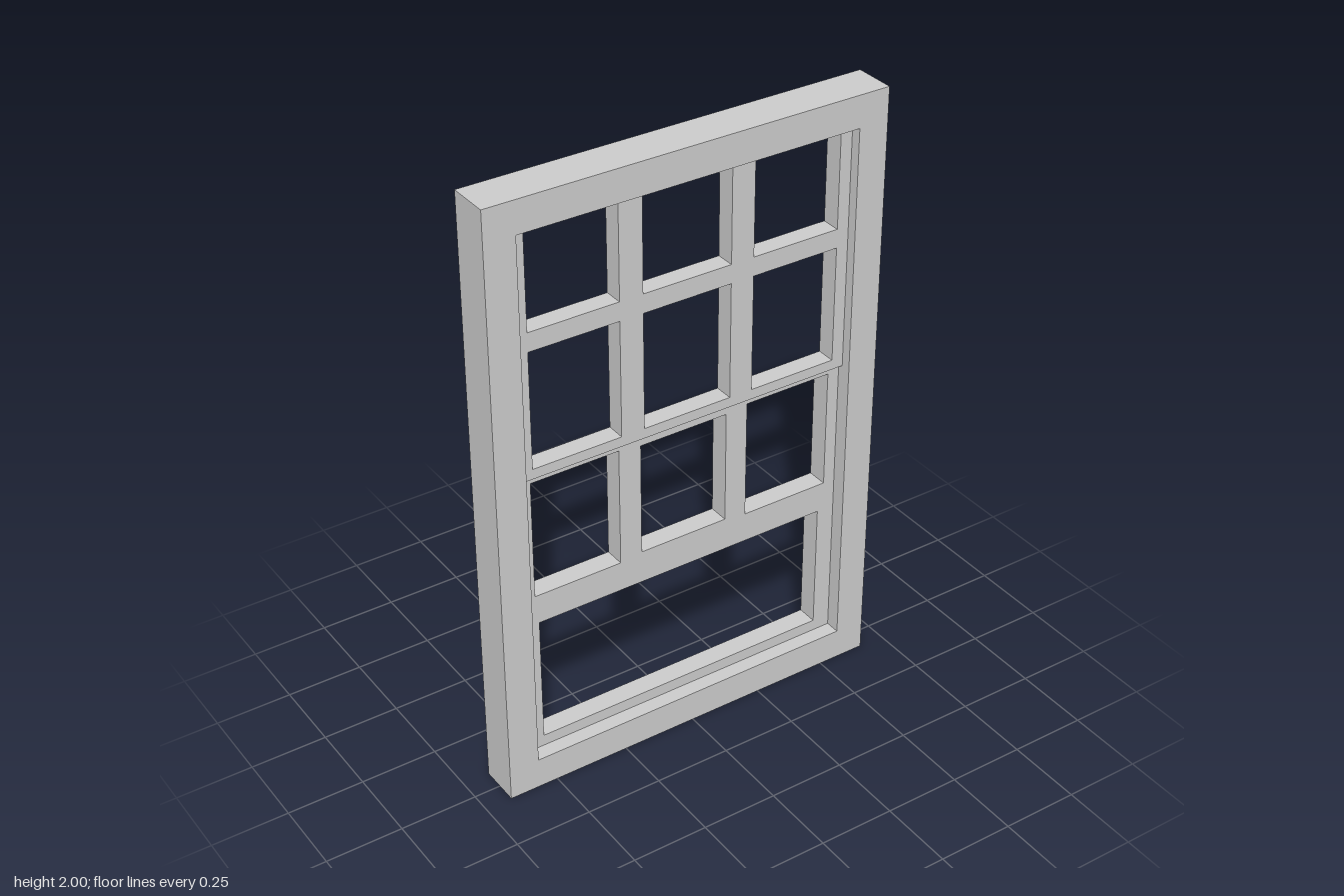
import * as THREE from 'three';

const material = new THREE.MeshStandardMaterial({ color: 0xcccccc, flatShading: true });

// Traces a rectangle given as [x0, y0, x1, y1]
function rect(path, [x0, y0, x1, y1]) {
  path.moveTo(x0, y0);
  path.lineTo(x1, y0);
  path.lineTo(x1, y1);
  path.lineTo(x0, y1);
  path.closePath();
  return path;
}

// Flat panel between two depths, pierced by rectangular openings
function panel(name, outline, openings, back, front) {
  const shape = rect(new THREE.Shape(), outline);
  for (const o of openings) shape.holes.push(rect(new THREE.Path(), o));
  const geometry = new THREE.ExtrudeGeometry(shape, { depth: front - back, bevelEnabled: false });
  geometry.translate(0, 0, back);
  const mesh = new THREE.Mesh(geometry, material);
  mesh.name = name;
  return mesh;
}

export function createModel() {
  const group = new THREE.Group();
  group.name = 'sashWindow';
  const columns = [[-0.523, -0.227], [-0.149, 0.149], [0.227, 0.523]];

  // Outer frame
  group.add(panel('frame', [-0.663, 0, 0.663, 2], [[-0.563, 0.104, 0.563, 1.896]], -0.068, 0.068));

  // Upper sash: two rows of three openings, set toward the front
  const upper = [];
  for (const [y0, y1] of [[1.128, 1.51], [1.572, 1.876]]) {
    for (const [x0, x1] of columns) upper.push([x0, y0, x1, y1]);
  }
  group.add(panel('upperSash', [-0.563, 1.095, 0.563, 1.896], upper, -0.028, 0.035));

  // Lower sash: three openings above one wide opening, set toward the back
  const lower = [
    [-0.523, 0.672, -0.227, 1.07],
    [-0.152, 0.682, 0.149, 1.06],
    [0.224, 0.672, 0.523, 1.07],
    [-0.512, 0.142, 0.503, 0.572],
  ];
  group.add(panel('lowerSash', [-0.563, 0.104, 0.563, 1.095], lower, -0.05, 0.018));

  return group;
}
